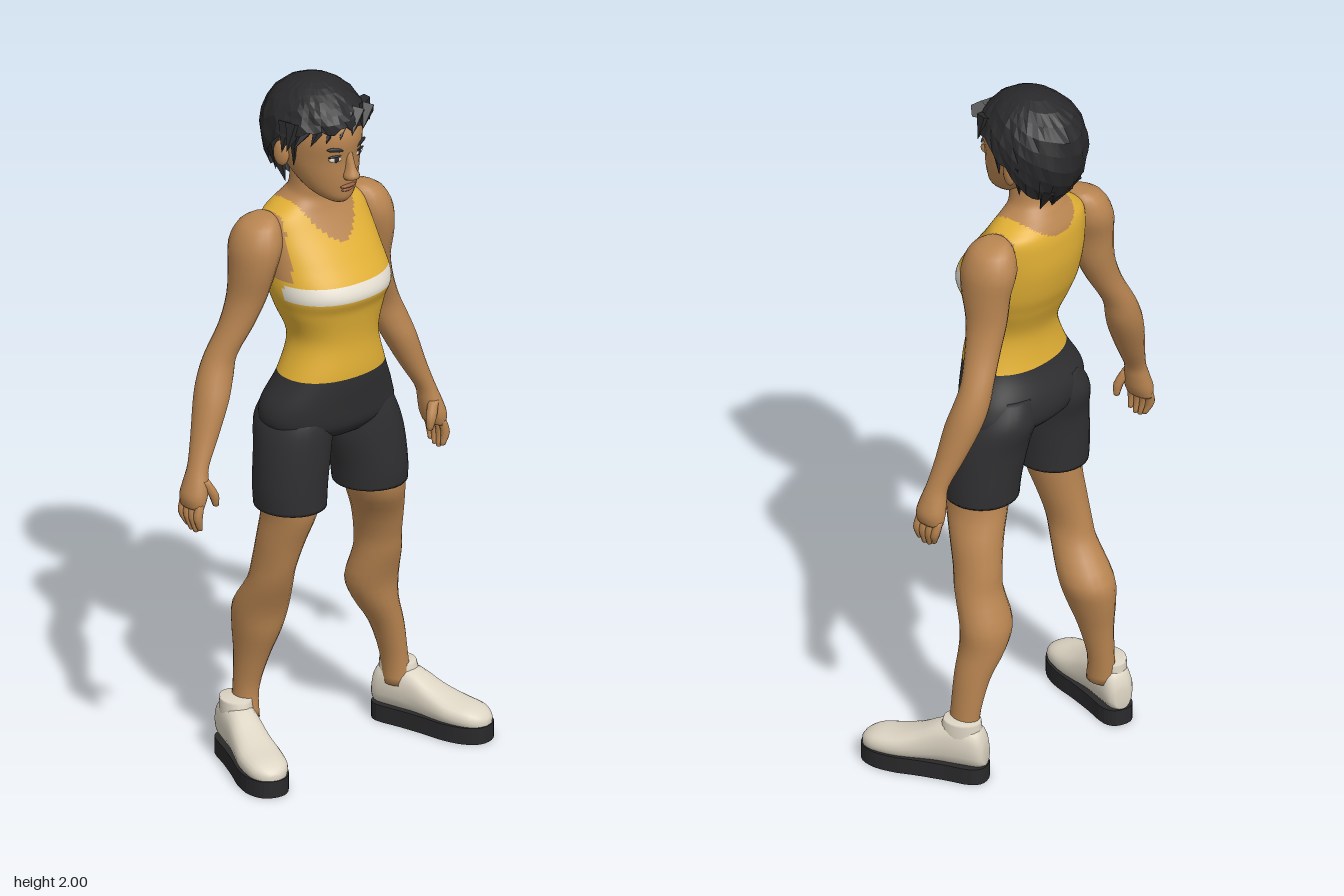
import * as THREE from 'three';

const mat = (name, color, extra = {}) => {
  const m = new THREE.MeshStandardMaterial({ color, ...extra });
  m.name = name;
  return m;
};

// Catmull-Rom blend of one number between b and c
const blend = (a, b, c, d, t) =>
  0.5 * (2 * b + (c - a) * t + (2 * a - 5 * b + 4 * c - d) * t * t + (3 * b - a - 3 * c + d) * t * t * t);

function resample(rings, steps) {
  const out = [], n = rings.length, at = (i) => rings[Math.max(0, Math.min(n - 1, i))];
  for (let i = 0; i < n - 1; i++)
    for (let s = 0; s < steps; s++)
      out.push(at(i).map((v, k) => blend(at(i - 1)[k], v, at(i + 1)[k], at(i + 2)[k], s / steps)));
  out.push(rings[n - 1]);
  return out;
}

// Closed body through level rings [y, centreX, centreZ, radiusX, radiusZ];
// pick(x, y, z) may sort its faces into material groups
function loft(rings, { seg = 20, steps = 3, power = 2, pick = null } = {}) {
  const rows = resample([...rings].sort((a, b) => a[0] - b[0]), steps);
  const pos = [], buckets = [];
  const sq = (v) => Math.sign(v) * Math.abs(v) ** (2 / power);
  for (const [y, cx, cz, rx, rz] of rows)
    for (let i = 0; i < seg; i++) {
      const a = (i / seg) * Math.PI * 2;
      pos.push(cx + sq(Math.sin(a)) * rx, y, cz + sq(Math.cos(a)) * rz);
    }
  const last = rows.length - 1, low = rows.length * seg, high = low + 1;
  for (const r of [rows[0], rows[last]]) pos.push(r[1], r[0], r[2]);
  const face = (...f) => {
    const mid = [0, 1, 2].map((k) => f.reduce((s, i) => s + pos[i * 3 + k], 0) / f.length);
    const list = (buckets[pick ? pick(...mid) : 0] ??= []);
    list.push(f[0], f[1], f[2]);
    if (f.length > 3) list.push(f[0], f[2], f[3]);
  };
  for (let i = 0; i < seg; i++) {
    const k = (i + 1) % seg;
    for (let j = 0; j < last; j++) face(j * seg + i, j * seg + k, (j + 1) * seg + k, (j + 1) * seg + i);
    face(low, k, i);
    face(high, last * seg + i, last * seg + k);
  }
  const g = new THREE.BufferGeometry(), index = [];
  g.setAttribute('position', new THREE.Float32BufferAttribute(pos, 3));
  buckets.forEach((b, m) => {
    if (pick) g.addGroup(index.length, b.length, m);
    for (const v of b) index.push(v);
  });
  g.setIndex(index);
  g.computeVertexNormals();
  return g;
}

export function createModel() {
  const model = new THREE.Group();
  model.name = 'athlete';
  const skin = mat('skin', 0xb98551), shirt = mat('yellow shirt', 0xe2b035), shorts = mat('dark shorts', 0x303032);
  const stripe = mat('pale stripe', 0xe9e3d5), shoe = mat('cream shoe', 0xddd5c4), sole = mat('black sole', 0x2a292b);
  const hair = mat('black hair', 0x29292b, { flatShading: true, side: THREE.DoubleSide });
  const lip = mat('lips', 0x96603f), eyeWhite = mat('eye white', 0xe4ddd2);
  const add = (name, geo, material, parent = model) => {
    const m = new THREE.Mesh(geo, material);
    m.name = name;
    parent.add(m);
    return m;
  };

  // Torso: shorts below, vest with scooped neck and armholes, bare neck
  const torso = [
    [0.985, 0.01, 0.01, 0.13, 0.09], [1.02, 0.01, 0.01, 0.2, 0.118], [1.08, 0, 0.015, 0.2, 0.125],
    [1.17, 0, 0.037, 0.157, 0.115], [1.27, 0.003, 0.04, 0.128, 0.108], [1.36, 0, 0.03, 0.155, 0.13],
    [1.42, 0, 0.027, 0.172, 0.15], [1.5, 0, -0.005, 0.17, 0.133], [1.57, 0, -0.03, 0.165, 0.108],
    [1.61, 0, -0.04, 0.155, 0.092], [1.635, -0.002, -0.04, 0.125, 0.08], [1.66, -0.005, -0.035, 0.085, 0.068],
    [1.69, -0.008, -0.025, 0.068, 0.06], [1.76, -0.01, -0.02, 0.065, 0.06]];
  const clothing = (x, y, z) => {
    if (y < 1.17) return 0;
    if (y > (z > -0.04 ? 1.545 + 11.5 * x * x : 1.605 + 5 * x * x)) return 3;
    if (y > 1.46 && Math.abs(x) > 0.16 - (y - 1.46) * 0.13) return 3;
    return z > 0.04 && y > 1.405 && y < 1.448 ? 2 : 1;
  };
  add('torso', loft(torso, { seg: 80, steps: 8, power: 2.2, pick: clothing }), [shorts, shirt, stripe, skin]);

  // Arms and hands
  const arm = [
    [1.628, 0.165, -0.045, 0.02, 0.03], [1.605, 0.182, -0.045, 0.052, 0.062], [1.55, 0.195, -0.045, 0.066, 0.082],
    [1.48, 0.208, -0.045, 0.057, 0.074], [1.4, 0.217, -0.055, 0.051, 0.06], [1.32, 0.245, -0.066, 0.046, 0.05],
    [1.24, 0.285, -0.082, 0.044, 0.045], [1.18, 0.307, -0.08, 0.05, 0.049], [1.12, 0.33, -0.07, 0.047, 0.051],
    [1.03, 0.366, -0.055, 0.036, 0.04], [0.96, 0.398, -0.042, 0.027, 0.032], [0.92, 0.41, -0.038, 0.03, 0.038],
    [0.88, 0.42, -0.036, 0.032, 0.045], [0.85, 0.424, -0.036, 0.022, 0.042]];
  for (const s of [1, -1]) {
    const side = new THREE.Group();
    side.name = s > 0 ? 'leftArm' : 'rightArm';
    model.add(side);
    add('armAndPalm', loft(arm.map(([y, x, ...r]) => [y, s * x, ...r])), skin, side);
    const digit = (name, pts, r) => add(name, loft(pts.map(([x, y, z], i) =>
      [y, s * x, z, r * [1, 1, 0.55][i], r * [1, 1, 0.55][i]]), { seg: 8 }), skin, side);
    for (let i = 0; i < 4; i++) {
      const z = -0.068 + i * 0.021;
      digit('finger', [[0.424, 0.865, z], [0.434, 0.825, z + 0.004], [0.426, 0.777 + Math.abs(i - 1.6) * 0.009, z * 0.8 + 0.002]], 0.0125);
    }
    digit('thumb', [[0.402, 0.925, -0.012], [0.383, 0.885, 0.002], [0.376, 0.85, 0.004]], 0.0145);
  }

  // Legs: bare leg and trouser leg for each side
  const legs = {
    right: {
      bare: [
        [0.83, -0.12, 0.01, 0.08, 0.085], [0.76, -0.12, 0.005, 0.068, 0.085], [0.68, -0.13, -0.015, 0.06, 0.075],
        [0.6, -0.138, -0.035, 0.052, 0.07], [0.54, -0.135, -0.055, 0.058, 0.068], [0.45, -0.123, -0.108, 0.071, 0.082],
        [0.38, -0.128, -0.12, 0.06, 0.076], [0.3, -0.135, -0.132, 0.043, 0.056], [0.2, -0.143, -0.145, 0.033, 0.04],
        [0.12, -0.15, -0.14, 0.035, 0.045]],
      cloth: [
        [0.785, -0.12, 0.01, 0.096, 0.103], [0.85, -0.12, 0.01, 0.1, 0.105], [0.95, -0.112, 0.01, 0.103, 0.109],
        [1.03, -0.1, 0.002, 0.1, 0.117], [1.1, -0.08, 0.005, 0.08, 0.1]],
      heel: [-0.155, -0.213], turn: -0.33 },
    left: {
      bare: [
        [0.83, 0.155, 0.03, 0.085, 0.09], [0.76, 0.165, 0.025, 0.076, 0.09], [0.68, 0.195, 0, 0.068, 0.077],
        [0.6, 0.213, -0.02, 0.062, 0.07], [0.54, 0.22, -0.03, 0.066, 0.067], [0.45, 0.225, -0.06, 0.076, 0.069],
        [0.38, 0.24, -0.062, 0.062, 0.065], [0.3, 0.273, -0.055, 0.045, 0.053], [0.2, 0.295, -0.05, 0.034, 0.045],
        [0.12, 0.3, -0.045, 0.035, 0.045]],
      cloth: [
        [0.79, 0.147, 0.025, 0.102, 0.103], [0.85, 0.142, 0.025, 0.105, 0.107], [0.95, 0.125, 0.018, 0.112, 0.111],
        [1.03, 0.11, 0.005, 0.102, 0.117], [1.1, 0.09, 0.005, 0.08, 0.1]],
      heel: [0.29, -0.12], turn: 0.33 } };
  // Shoe runs from heel to toe along its length
  const upper = [
    [0, 0, -0.08, 0.022, 0.03], [0.018, 0, -0.1, 0.04, 0.058], [0.07, 0, -0.108, 0.047, 0.068],
    [0.13, 0, -0.1, 0.049, 0.062], [0.19, 0, -0.082, 0.055, 0.048], [0.25, 0, -0.07, 0.062, 0.037],
    [0.31, 0, -0.064, 0.056, 0.031], [0.342, 0, -0.058, 0.036, 0.022], [0.355, 0, -0.055, 0.012, 0.01]];
  const half = [[0.022, 0], [0.043, 0.025], [0.048, 0.1], [0.055, 0.18], [0.064, 0.25], [0.058, 0.31], [0.034, 0.348]];
  const outline = [...half, [0, 0.358], ...half.map(([x, t]) => [-x, t]).reverse()];
  const soleShape = new THREE.Shape(new THREE.CatmullRomCurve3(
    outline.map(([x, t]) => new THREE.Vector3(x, t, 0)), true).getPoints(44).map((p) => new THREE.Vector2(p.x, p.y)));
  for (const [name, leg] of Object.entries(legs)) {
    add(name + 'Leg', loft(leg.bare), skin);
    add(name + 'ShortsLeg', loft(leg.cloth, { seg: 28, steps: 5 }), shorts);
    const foot = new THREE.Group();
    foot.name = name + 'Shoe';
    foot.position.set(leg.heel[0], 0, leg.heel[1]);
    foot.rotation.y = leg.turn;
    model.add(foot);
    add('shoeUpper', loft(upper, { power: 2.4 }).rotateX(Math.PI / 2), shoe, foot);
    add('shoeCollar', loft([[0.1, 0, 0.075, 0.044, 0.066], [0.15, 0, 0.073, 0.044, 0.058], [0.18, 0, 0.07, 0.042, 0.052]]), shoe, foot);
    add('shoeSole', new THREE.ExtrudeGeometry(soleShape, { depth: 0.048, bevelEnabled: false })
      .rotateX(Math.PI / 2).translate(0, 0.05, 0), sole, foot);
  }

  // Head and face
  const head = new THREE.Group();
  head.name = 'head';
  head.position.x = -0.01;
  model.add(head);
  add('skull', loft([
    [1.67, 0, 0.075, 0.025, 0.03], [1.685, 0, 0.06, 0.048, 0.056], [1.71, 0, 0.04, 0.07, 0.08],
    [1.75, 0, 0.015, 0.087, 0.11], [1.8, 0, -0.01, 0.1, 0.137], [1.86, 0, -0.01, 0.104, 0.146],
    [1.92, 0, -0.015, 0.09, 0.13], [1.97, 0, -0.015, 0.05, 0.08]], { seg: 28 }), skin, head);
  add('nose', loft([[1.743, 0, 0.125, 0.014, 0.014], [1.755, 0, 0.134, 0.022, 0.026], [1.78, 0, 0.127, 0.013, 0.021],
    [1.82, 0, 0.119, 0.011, 0.013], [1.84, 0, 0.115, 0.01, 0.01]], { seg: 12 }), skin, head);
  const ball = (name, material, p, r, ry = 0, rz = 0) => {
    const m = add(name, new THREE.SphereGeometry(1, 16, 10), material, head);
    m.position.set(...p);
    m.scale.set(...r);
    m.rotation.set(0, ry, rz);
  };
  ball('upperLip', lip, [0, 1.722, 0.12], [0.026, 0.006, 0.009]);
  ball('lowerLip', lip, [0, 1.711, 0.116], [0.021, 0.006, 0.009]);
  for (const s of [1, -1]) {
    ball('eye', eyeWhite, [s * 0.041, 1.808, 0.115], [0.019, 0.009, 0.005], s * 0.35);
    ball('iris', sole, [s * 0.04, 1.808, 0.118], [0.008, 0.009, 0.004], s * 0.35);
    ball('eyelid', sole, [s * 0.042, 1.817, 0.117], [0.022, 0.0035, 0.004], s * 0.35, s * -0.08);
    ball('eyebrow', sole, [s * 0.043, 1.837, 0.12], [0.027, 0.0065, 0.005], s * 0.35, s * 0.12);
    ball('ear', skin, [s * 0.107, 1.797, -0.03], [0.013, 0.037, 0.024], s * -0.3);
  }

  // Hair cap with a ragged lower edge that falls from brow to nape
  let seed = 7;
  const rnd = () => (seed = (seed * 16807) % 2147483647) / 2147483647;
  const edge = [[1.895], [1.89], [1.885], [1.845], [1.755], [1.71], [1.69]];
  const fall = resample(edge, 4).map((e) => e[0]);
  const cols = 48, rowsN = 9, hp = [], hi = [];
  for (let j = 0; j <= rowsN; j++)
    for (let i = 0; i < cols; i++) {
      const a = (i / cols) * Math.PI * 2, k = i <= cols / 2 ? i : cols - i;
      const dy = fall[k] - 1.85, end = Math.acos(Math.max(-1, dy / (dy > 0 ? 0.15 : 0.18)));
      const t = (j / rowsN) * end, n = j ? 0.975 + rnd() * 0.055 : 1;
      const y = Math.cos(t) * (t < Math.PI / 2 ? 0.149 : 0.18) + (j === rowsN ? (rnd() - 0.5) * 0.02 : 0);
      hp.push(Math.sin(a) * Math.sin(t) * 0.137 * n, 1.85 + y, -0.018 + Math.cos(a) * Math.sin(t) * 0.16 * n);
    }
  for (let j = 0; j < rowsN; j++)
    for (let i = 0; i < cols; i++) {
      const p = j * cols + i, q = j * cols + ((i + 1) % cols);
      hi.push(p, p + cols, q + cols, p, q + cols, q);
    }
  const cap = new THREE.BufferGeometry();
  cap.setAttribute('position', new THREE.Float32BufferAttribute(hp, 3));
  cap.setIndex(hi);
  cap.computeVertexNormals();
  add('hairCap', cap, hair, head);

  // Loose locks: swept fringe, temples, sideburns and nape
  const lock = (p, q, r) => {
    const a = new THREE.Vector3(...p), b = new THREE.Vector3(...q), d = b.clone().sub(a);
    const m = add('hairLock', new THREE.ConeGeometry(r, d.length(), 5), hair, head);
    m.position.copy(a).addScaledVector(d, 0.5);
    m.quaternion.setFromUnitVectors(new THREE.Vector3(0, 1, 0), d.normalize());
  };
  for (let i = 0; i < 6; i++)
    lock([0.075 - i * 0.03, 1.925 - i * 0.004, 0.105 - i * i * 0.002], [0.03 - i * 0.034, 1.885 - i * 0.008, 0.145 - i * i * 0.0035], 0.026);
  lock([-0.11, 1.9, 0.03], [-0.148, 1.835, 0.04], 0.028);
  lock([-0.11, 1.9, 0], [-0.14, 1.82, 0.01], 0.028);
  lock([0.09, 1.93, 0.07], [0.115, 1.865, 0.075], 0.024);
  for (const s of [1, -1]) {
    lock([s * 0.1, 1.87, 0.02], [s * 0.1, 1.77, 0.012], 0.018);
    lock([s * 0.11, 1.84, -0.065], [s * 0.1, 1.735, -0.06], 0.024);
    lock([s * 0.05, 1.76, -0.12], [s * 0.045, 1.675, -0.085], 0.026);
  }
  lock([0, 1.76, -0.13], [0.005, 1.67, -0.09], 0.03);
  return model;
}
